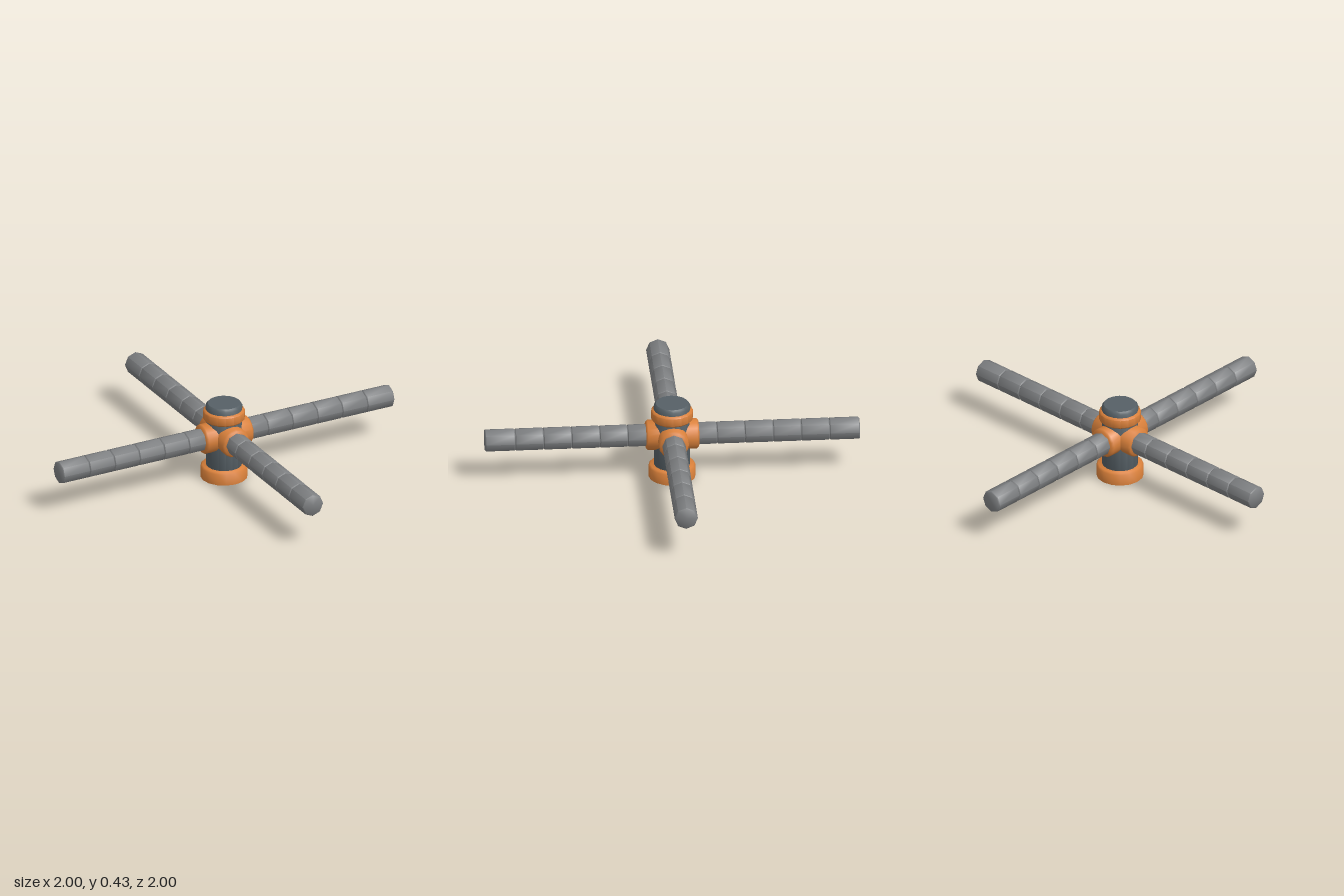
import * as THREE from 'three';
import { toCreasedNormals } from 'three/addons/utils/BufferGeometryUtils.js';

const material = (name, color) => {
  const m = new THREE.MeshStandardMaterial({ color });
  m.name = name;
  return m;
};

// Turned part from [radius, height] pairs, listed bottom to top
function turned(name, profile, sides, mat) {
  const points = profile.map(([r, y]) => new THREE.Vector2(r, y));
  const geometry = toCreasedNormals(new THREE.LatheGeometry(points, sides), 0.85);
  const mesh = new THREE.Mesh(geometry, mat);
  mesh.name = name;
  return mesh;
}

// Solid drum with bevelled rims
const drum = (r, y0, y1, bevel) => [
  [0, y0], [r - bevel, y0], [r, y0 + bevel], [r, y1 - bevel], [r - bevel, y1], [0, y1],
];

export function createModel() {
  const orange = material('orange paint', 0xd9803a);
  const slate = material('slate metal', 0x566066);
  const grey = material('grey pipe', 0x7e8082);
  const model = new THREE.Group();
  model.name = 'pipeJunction';

  // Upright core with its flanges and cap
  model.add(turned('body', drum(0.097, 0.03, 0.36, 0.004), 16, slate));
  model.add(turned('baseFlange',
    [[0, 0], [0.126, 0], [0.126, 0.062], [0.117, 0.072], [0, 0.072]], 16, orange));
  model.add(turned('upperCollar', drum(0.112, 0.335, 0.396, 0.009), 16, orange));
  model.add(turned('cap',
    [[0, 0.38], [0.098, 0.38], [0.098, 0.417], [0.087, 0.43], [0, 0.43]], 16, slate));

  // Four identical arms around the hub
  const joints = [0.09, 0.238, 0.387, 0.538, 0.688, 0.839, 1];
  for (let i = 0; i < 4; i++) {
    const arm = new THREE.Group();
    arm.name = 'arm' + (i + 1);
    arm.add(turned('armCollar',
      [[0, 0], [0.081, 0], [0.081, 0.131], [0.072, 0.141], [0, 0.141]], 16, orange));
    for (let j = 0; j < joints.length - 1; j++) {
      arm.add(turned('pipeSegment', drum(0.062, joints[j], joints[j + 1], 0.005), 8, grey));
    }
    arm.position.y = 0.245;
    arm.rotation.set(0, i * Math.PI / 2, -Math.PI / 2);
    model.add(arm);
  }
  return model;
}
